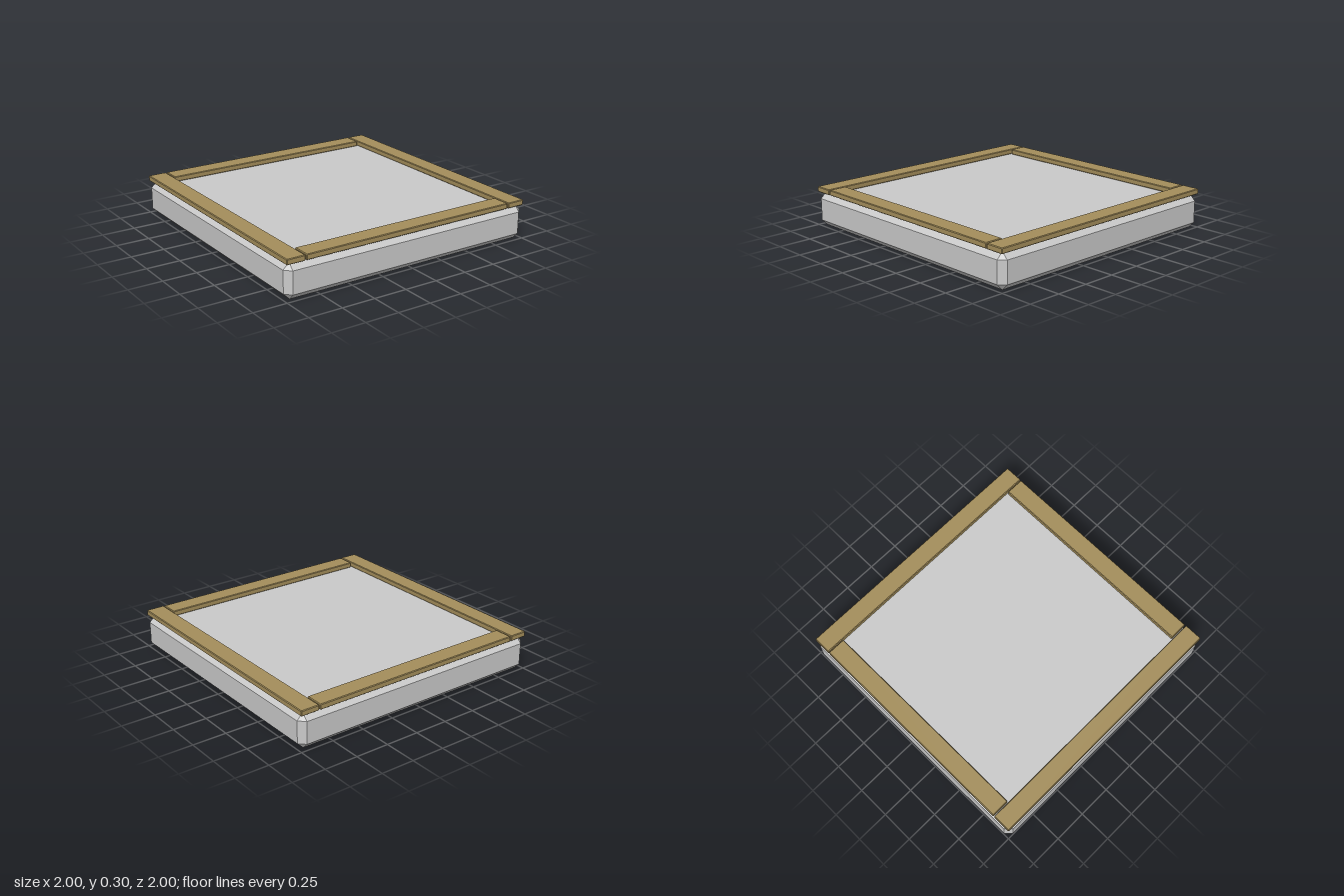
import * as THREE from 'three';
import { ConvexGeometry } from 'three/addons/geometries/ConvexGeometry.js';

// Box with every edge and corner cut off at 45 degrees by c
function chamferedBox(w, h, d, c) {
  const points = [];
  const [x, y, z] = [w / 2, h / 2, d / 2];
  for (const sx of [-1, 1]) for (const sy of [-1, 1]) for (const sz of [-1, 1]) {
    points.push(
      new THREE.Vector3(sx * x, sy * (y - c), sz * (z - c)),
      new THREE.Vector3(sx * (x - c), sy * y, sz * (z - c)),
      new THREE.Vector3(sx * (x - c), sy * (y - c), sz * z)
    );
  }
  return new ConvexGeometry(points);
}

export function createModel() {
  const model = new THREE.Group();
  model.name = 'framedSlab';
  const stone = new THREE.MeshStandardMaterial({ name: 'stone grey', color: 0xcacaca });
  const wood = new THREE.MeshStandardMaterial({ name: 'wood brown', color: 0xa48e5b });

  const add = (name, geometry, material, x, y, z) => {
    const mesh = new THREE.Mesh(geometry, material);
    mesh.name = name;
    mesh.position.set(x, y, z);
    model.add(mesh);
  };

  // Slab
  const slabHeight = 0.255;
  add('slab', chamferedBox(2, slabHeight, 2, 0.045), stone, 0, slabHeight / 2, 0);

  // Plank frame: two full-length sides, two shorter planks between them
  const thick = 0.041, width = 0.141, bevel = 0.005;
  const y = slabHeight + thick / 2;
  const sidePlank = chamferedBox(width, thick, 1.994, bevel);
  const endPlank = chamferedBox(1.695, thick, width, bevel);
  add('leftPlank', sidePlank, wood, 0.925, y, 0);
  add('rightPlank', sidePlank, wood, -0.927, y, 0);
  add('frontPlank', endPlank, wood, 0, y, 0.924);
  add('backPlank', endPlank, wood, 0, y, -0.927);

  return model;
}
